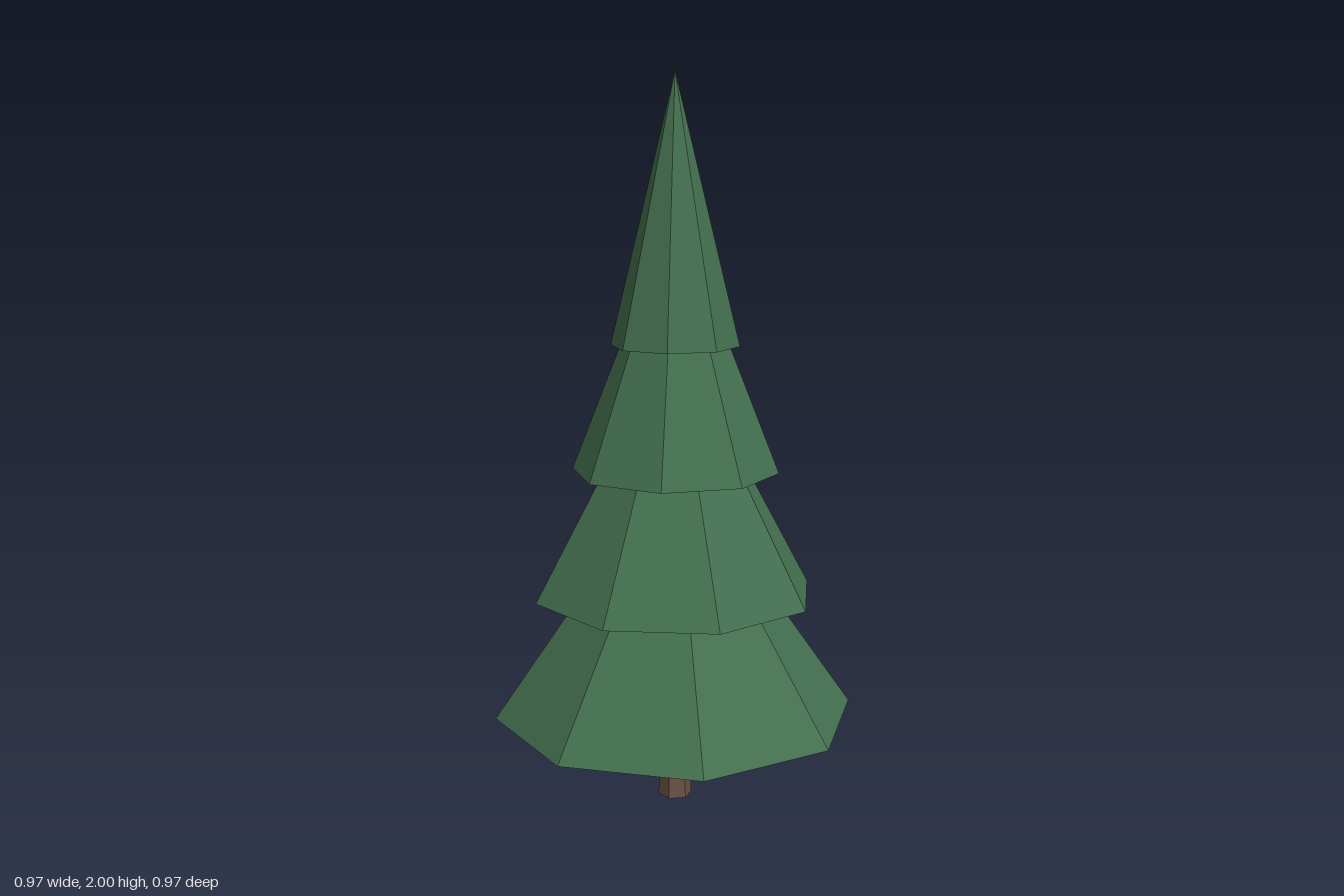
import * as THREE from 'three';

export function createModel() {
  const tree = new THREE.Group();
  tree.name = 'pineTree';

  const needles = new THREE.MeshStandardMaterial({ color: 0x44704f, flatShading: true, side: THREE.DoubleSide });
  needles.name = 'needleGreen';
  const bark = new THREE.MeshStandardMaterial({ color: 0x6b5345, flatShading: true });
  bark.name = 'barkBrown';

  // Six-sided trunk, tapering up into the lowest tier
  const trunkHeight = 0.4;
  const trunk = new THREE.Mesh(new THREE.CylinderGeometry(0.038, 0.047, trunkHeight, 6), bark);
  trunk.name = 'trunk';
  trunk.position.y = trunkHeight / 2;
  tree.add(trunk);

  // Four overlapping eight-sided cones, hollow underneath, each turned a little
  const tierHeight = 0.72;
  const twists = [14.8, 23.5, -0.6, 0];
  twists.forEach((twist, i) => {
    const radius = 0.502 - i * 0.109;
    const tier = new THREE.Mesh(new THREE.ConeGeometry(radius, tierHeight, 8, 1, true), needles);
    tier.name = `branchTier${i + 1}`;
    tier.position.y = 0.25 + i * 0.3433 + tierHeight / 2;
    tier.rotation.y = THREE.MathUtils.degToRad(twist);
    tree.add(tier);
  });

  return tree;
}
